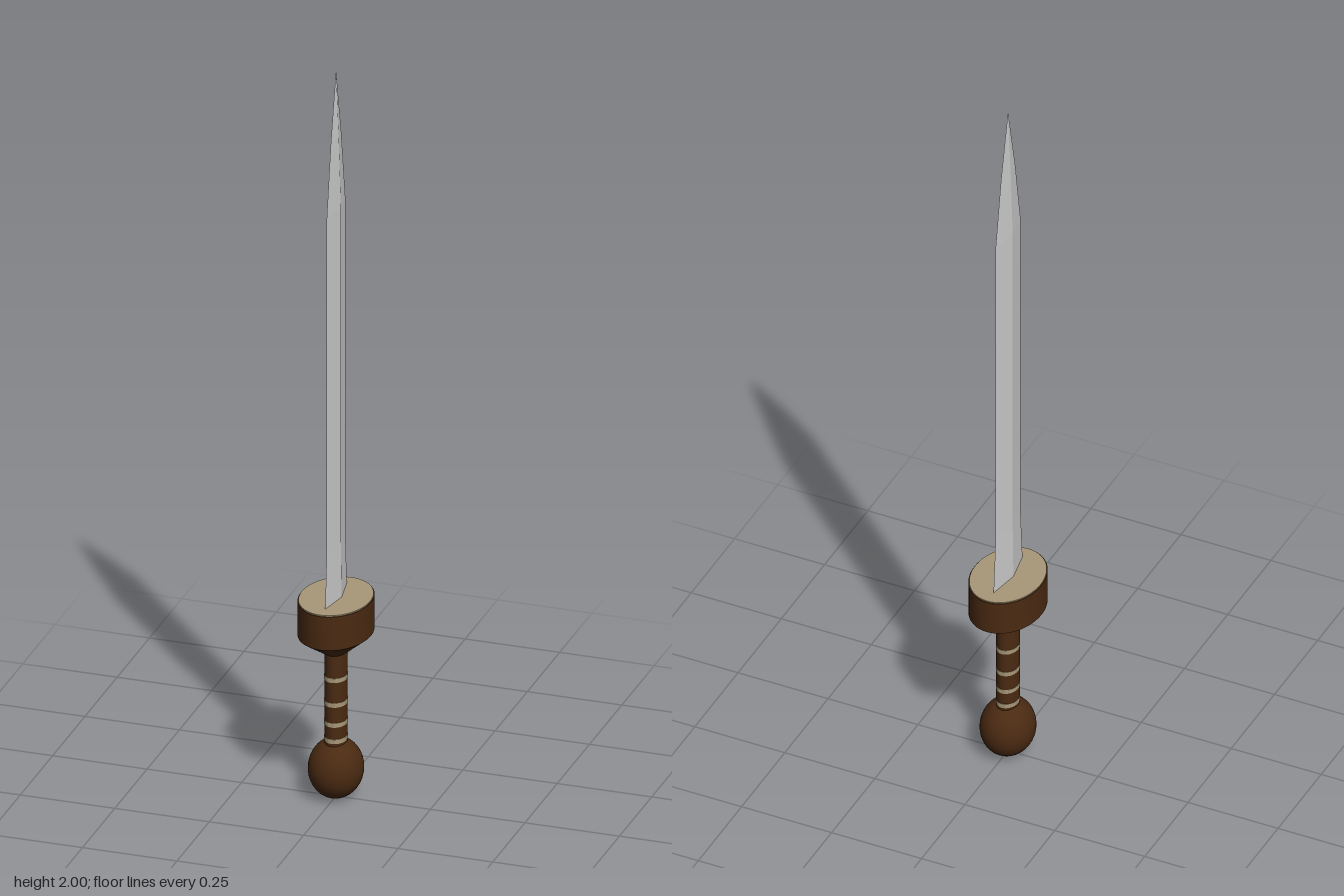
import * as THREE from 'three';
import { toCreasedNormals } from 'three/addons/utils/BufferGeometryUtils.js';

const wood = new THREE.MeshStandardMaterial({ color: 0x4a2a12 });
const tan = new THREE.MeshStandardMaterial({ color: 0xa89878 });
const steel = new THREE.MeshStandardMaterial({ color: 0xcccccc, flatShading: true });

export function createModel() {
  const group = new THREE.Group();

  function add(name, geometry, material) {
    const mesh = new THREE.Mesh(geometry, material);
    mesh.name = name;
    group.add(mesh);
    return mesh;
  }

  // Turned part from [radius along z, height] pairs, squashed along x to an oval
  function oval(profile, squash, sides = 48) {
    const points = profile.map(([r, y]) => new THREE.Vector2(r, y));
    return new THREE.LatheGeometry(points, sides).scale(squash, 1, 1);
  }

  // Blade: diamond section, flared at the base and tapering to a point
  add('blade', oval([
    [0, 0.53], [0.085, 0.53], [0.083, 0.56], [0.077, 0.64], [0.072, 0.71],
    [0.072, 1.62], [0.041, 1.81], [0, 2],
  ], 0.18, 4), steel);

  // Guard: oval block with a tapered underside and a pale plate set on top
  add('guard', toCreasedNormals(oval([
    [0, 0.4], [0.037, 0.4], [0.124, 0.455], [0.124, 0.547], [0, 0.547],
  ], 0.75), 0.5), wood);
  add('guardPlate', toCreasedNormals(oval([
    [0, 0.544], [0.121, 0.544], [0.121, 0.55], [0, 0.55],
  ], 0.75), 0.5), tan);

  // Grip with pale rings
  add('grip', oval([[0.036, 0.14], [0.036, 0.41]], 0.78), wood);
  for (const y of [0.165, 0.21, 0.265, 0.333]) {
    const h = 0.006;
    add('gripRing', toCreasedNormals(oval([
      [0.034, y - h], [0.037, y - h], [0.037, y + h], [0.034, y + h],
    ], 0.78), 0.5), tan);
  }

  // Pommel: slightly flattened ball
  const pommel = new THREE.SphereGeometry(1, 40, 28).scale(0.07, 0.08, 0.077);
  add('pommel', pommel, wood).position.y = 0.08;

  return group;
}
